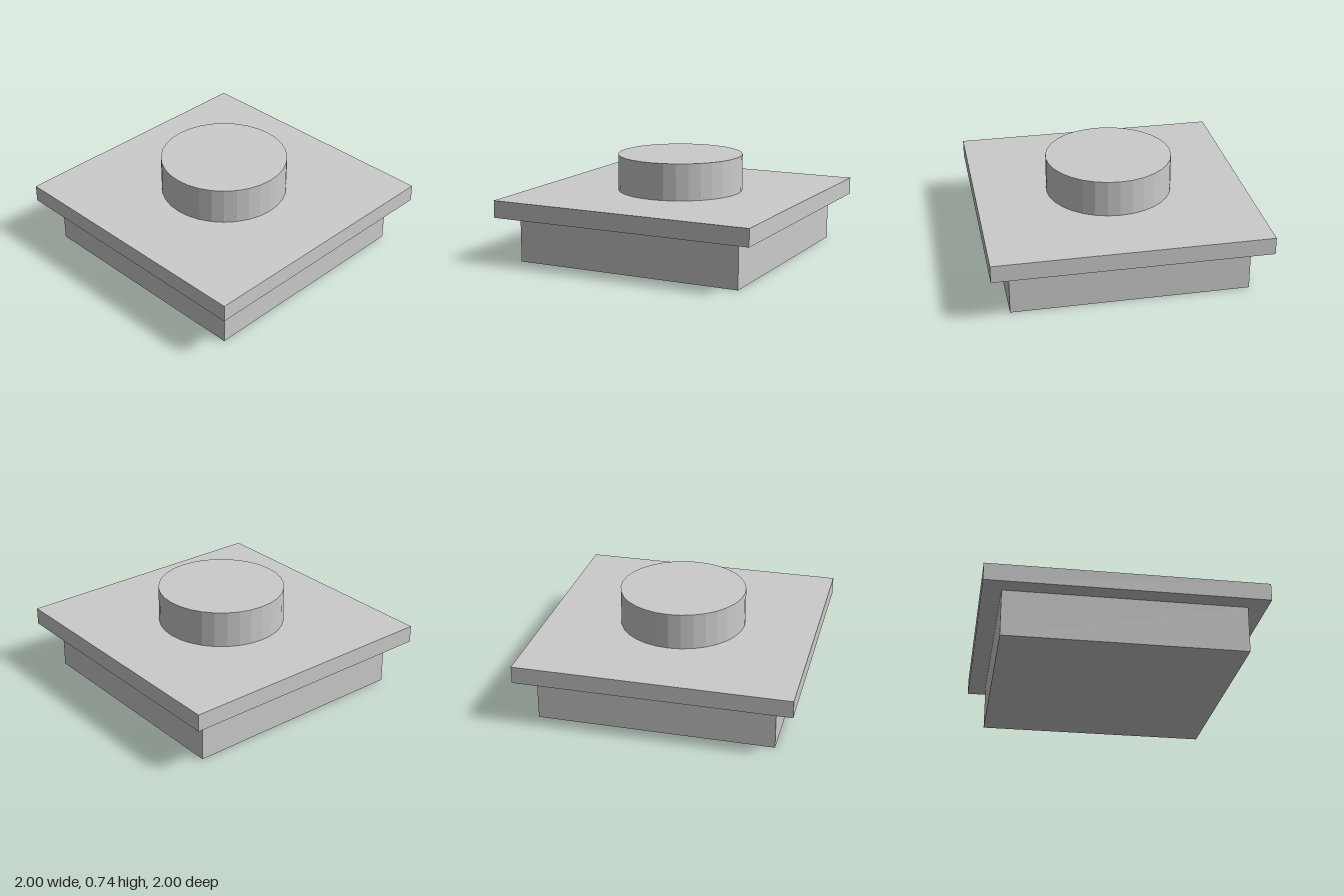
import * as THREE from 'three';

export function createModel() {
  const model = new THREE.Group();
  const material = new THREE.MeshStandardMaterial({ color: 0xcccccc, flatShading: true });

  // Adds a part standing on height y
  const addPart = (name, geometry, y, height) => {
    const mesh = new THREE.Mesh(geometry, material);
    mesh.name = name;
    mesh.position.y = y + height / 2;
    model.add(mesh);
  };

  const baseHeight = 0.34, slabHeight = 0.127, knobHeight = 0.27;

  // Square base, overhanging slab and round knob, stacked
  addPart('base', new THREE.BoxGeometry(1.73, baseHeight, 1.73), 0, baseHeight);
  addPart('slab', new THREE.BoxGeometry(2, slabHeight, 2), baseHeight, slabHeight);
  addPart('knob', new THREE.CylinderGeometry(0.467, 0.467, knobHeight, 32), baseHeight + slabHeight, knobHeight);

  return model;
}
